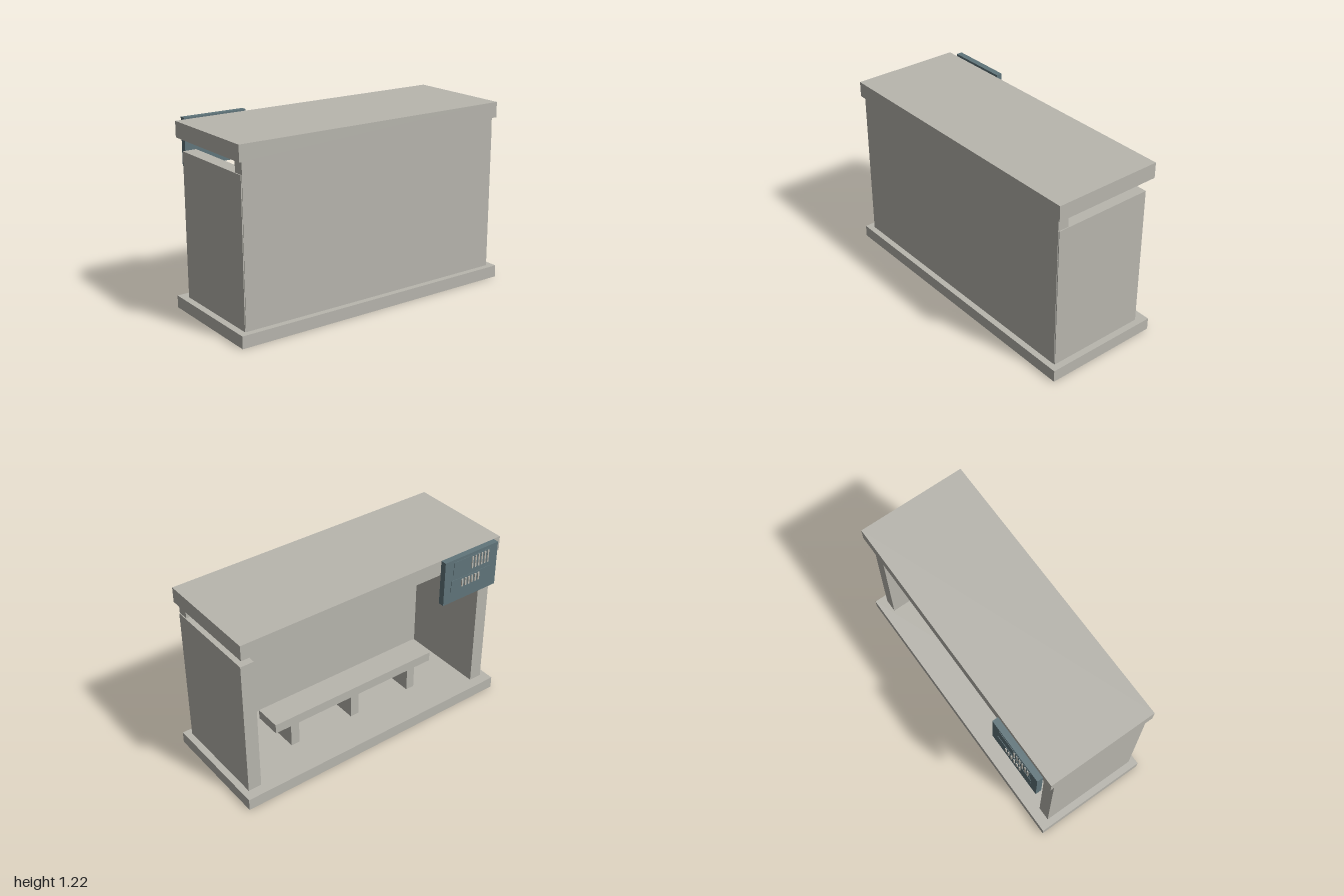
import * as THREE from 'three';

export function createModel() {
  const model = new THREE.Group();
  model.name = 'waitingShelter';

  const concrete = new THREE.MeshStandardMaterial({ color: 0xb8b6ae });
  concrete.name = 'concrete grey';
  const slate = new THREE.MeshStandardMaterial({ color: 0x60757b });
  slate.name = 'slate blue';

  // Box given by its lower and upper limits on each axis
  function box(name, [x0, x1], [y0, y1], [z0, z1], material = concrete, parent = model) {
    const mesh = new THREE.Mesh(new THREE.BoxGeometry(x1 - x0, y1 - y0, z1 - z0), material);
    mesh.position.set((x0 + x1) / 2, (y0 + y1) / 2, (z0 + z1) / 2);
    mesh.name = name;
    parent.add(mesh);
    return mesh;
  }

  // Shell
  box('baseSlab', [-1, 1], [0, 0.08], [-0.375, 0.41]);
  box('longWall', [-0.95, 0.95], [0.08, 1.105], [0.295, 0.37]);
  box('roofSlab', [-0.975, 0.975], [1.105, 1.207], [-0.35, 0.385]);
  box('leftWall', [0.865, 0.956], [0.08, 1.025], [-0.305, 0.366]);
  box('rightWall', [-0.956, -0.865], [0.08, 1.025], [-0.305, 0.366]);

  // Bench
  const bench = new THREE.Group();
  bench.name = 'bench';
  model.add(bench);
  box('benchSeat', [-0.63, 0.63], [0.252, 0.317], [-0.132, 0.055], concrete, bench);
  for (const x of [-0.477, 0, 0.477]) {
    box('benchLeg', [x - 0.031, x + 0.031], [0.08, 0.252], [-0.12, 0.035], concrete, bench);
  }

  // Hanging sign board with two raised panels
  const sign = new THREE.Group();
  sign.name = 'signBoard';
  model.add(sign);
  box('board', [-0.91, -0.475], [0.905, 1.215], [-0.4, -0.36], slate, sign);
  box('upperPanel', [-0.845, -0.545], [1.095, 1.195], [-0.403, -0.4], slate, sign);
  box('lowerPanel', [-0.855, -0.53], [0.985, 1.065], [-0.403, -0.4], slate, sign);

  // Plain raised bars on the panels
  for (let i = 0; i < 6; i++) {
    const x = -0.832 + i * 0.026;
    box('upperBar', [x, x + 0.011], [1.103, 1.188], [-0.408, -0.403], concrete, sign);
  }
  for (let i = 0; i < 6; i++) {
    const x = -0.76 + i * 0.027;
    box('lowerBar', [x, x + 0.012], [1.0, 1.053], [-0.41, -0.403], concrete, sign);
  }

  return model;
}
